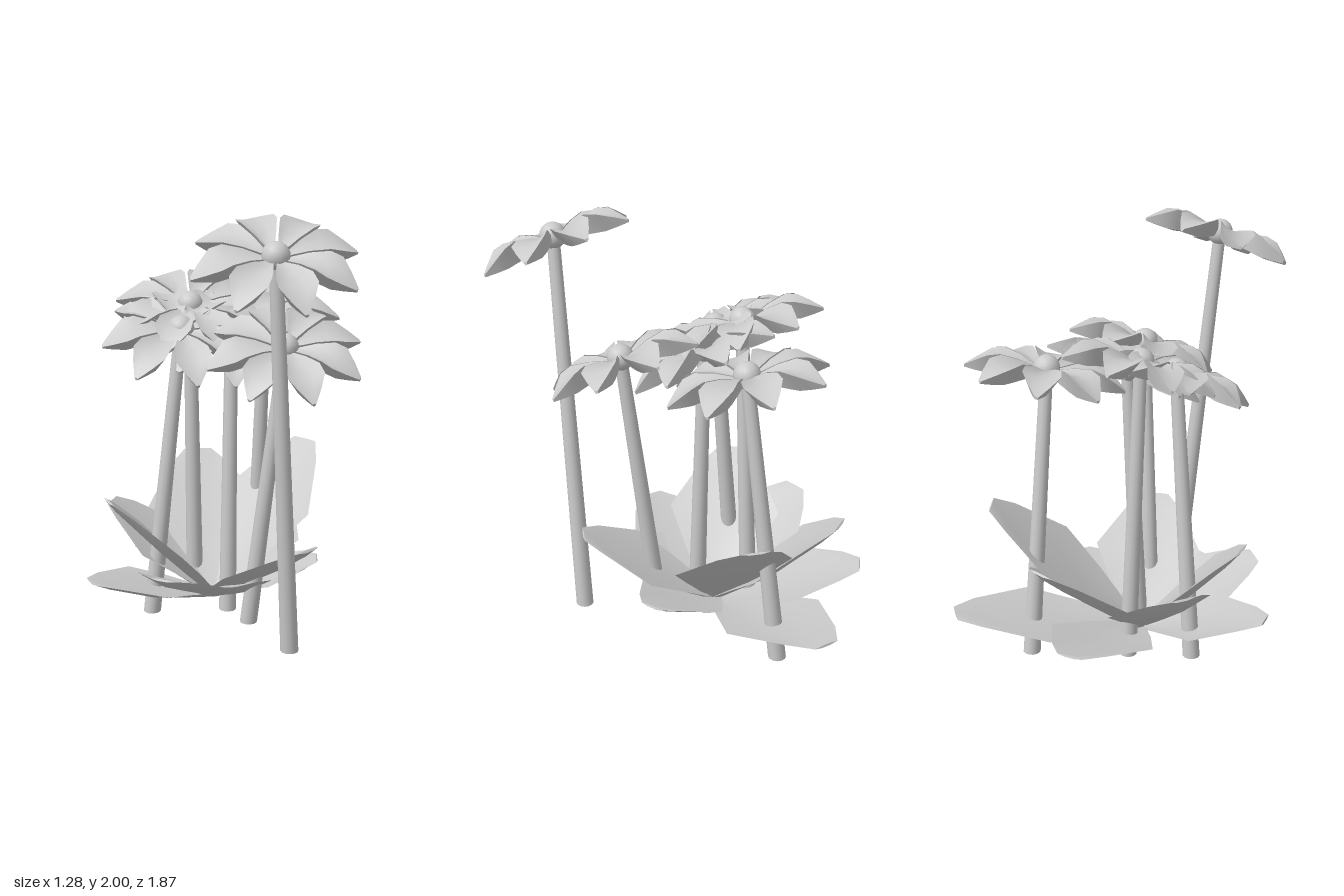
import * as THREE from 'three';
import { toCreasedNormals } from 'three/addons/utils/BufferGeometryUtils.js';

const grey = new THREE.MeshStandardMaterial({ color: 0xcccccc });

// Lofts six-sided sections along +z. Each section: [z, halfWidth, topY, edgeY, bottomY]
function loft(sections, crease) {
  const pos = [], idx = [], n = 6, last = sections.length - 1;
  for (const [z, w, top, edge, bot] of sections) {
    pos.push(w, edge, z, w * 0.4, top, z, -w * 0.4, top, z, -w, edge, z, -w * 0.4, bot, z, w * 0.4, bot, z);
  }
  for (let i = 0; i < last; i++) {
    for (let j = 0; j < n; j++) {
      const a = i * n + j, b = i * n + (j + 1) % n;
      idx.push(a, b, b + n, a, b + n, a + n);
    }
  }
  for (let j = 1; j < n - 1; j++) {
    idx.push(0, j + 1, j, last * n, last * n + j, last * n + j + 1);
  }
  const g = new THREE.BufferGeometry();
  g.setAttribute('position', new THREE.Float32BufferAttribute(pos, 3));
  g.setIndex(idx);
  return toCreasedNormals(g, crease);
}

// Cupped petal: narrow foot, raised rims, rounded keel, drooping pointed tip
const petalGeo = loft([
  [0.06, 0.018, 0.0, 0.004, -0.03],
  [0.13, 0.048, 0.012, 0.03, -0.042],
  [0.21, 0.08, 0.018, 0.045, -0.052],
  [0.265, 0.086, 0.01, 0.03, -0.06],
  [0.32, 0.05, -0.014, -0.008, -0.06],
  [0.37, 0.01, -0.045, -0.045, -0.058],
], 0.9);

// Broad thin leaf of unit length: kite outline, slightly cupped
const leafGeo = loft([
  [0.0, 0.04, 0.0, 0.005, -0.025],
  [0.3, 0.16, 0.0, 0.025, -0.03],
  [0.56, 0.25, 0.0, 0.03, -0.03],
  [0.88, 0.13, 0.005, 0.015, -0.02],
  [1.0, 0.06, 0.005, 0.0, -0.008],
], 0.5);

const heartGeo = new THREE.SphereGeometry(0.062, 14, 10);

// Leaning stem with its cut end flat on the ground
function makeStem([x0, z0], [x1, y1, z1]) {
  const g = new THREE.CylinderGeometry(0.03, 0.042, y1, 12).translate(0, y1 / 2, 0);
  const p = g.attributes.position;
  for (let i = 0; i < p.count; i++) {
    const t = p.getY(i) / y1;
    p.setX(i, p.getX(i) + x0 + (x1 - x0) * t);
    p.setZ(i, p.getZ(i) + z0 + (z1 - z0) * t);
  }
  const stem = new THREE.Mesh(toCreasedNormals(g, 0.9), grey);
  stem.name = 'stem';
  return stem;
}

// Eight petals round a ball, nodding towards the front
function makeBloom(head, tilt, turn) {
  const bloom = new THREE.Group();
  bloom.name = 'bloom';
  bloom.position.set(...head);
  bloom.rotation.x = THREE.MathUtils.degToRad(tilt);
  const heart = new THREE.Mesh(heartGeo, grey);
  heart.name = 'flowerCentre';
  bloom.add(heart);
  for (let i = 0; i < 8; i++) {
    const petal = new THREE.Mesh(petalGeo, grey);
    petal.name = 'petal';
    petal.rotation.y = THREE.MathUtils.degToRad(turn + i * 45);
    bloom.add(petal);
  }
  return bloom;
}

export function createModel() {
  const model = new THREE.Group();
  model.name = 'floweringPlant';

  // Flowers: stem foot [x, z], head [x, y, z], tilt and turn in degrees
  const flowers = [
    [[0.29, 0.45], [0.19, 1.86, 0.62], 24, 15],
    [[0.22, -0.59], [0.25, 1.42, -0.42], 13, 0],
    [[0.13, 0.11], [0.28, 1.38, 0.21], 24, 15],
    [[-0.33, -0.05], [-0.18, 1.42, -0.02], 25, 10],
    [[-0.11, -0.26], [-0.13, 1.5, -0.19], 20, 25],
    [[0.04, -0.05], [0.06, 1.41, -0.1], 28, 0],
  ];
  for (const [foot, head, tilt, turn] of flowers) {
    const flower = new THREE.Group();
    flower.name = 'flower';
    flower.add(makeStem(foot, head), makeBloom(head, tilt, turn));
    model.add(flower);
  }

  // Rosette of leaves: tip [x, y, z] and width factor
  const leaves = [
    [0.38, 0.27, -0.91, 1.05],
    [-0.29, 0.29, -0.77, 1.05],
    [0.48, 0.7, -0.6, 1.15],
    [-0.53, 0.61, 0.07, 1.1],
    [-0.07, 0.61, -0.75, 1.2],
    [-0.62, 0.24, 0.15, 0.9],
    [-0.52, 0.49, -0.3, 1.05],
    [-0.29, 0.35, 0.42, 1.05],
    [0.38, 0.46, 0.38, 1.05],
    [0.48, 0.25, -0.06, 0.95],
    [0.03, 0.28, 0.34, 0.95],
  ];
  const root = new THREE.Vector3(-0.02, 0.06, -0.12);
  const rosette = new THREE.Group();
  rosette.name = 'leafRosette';
  for (const [x, y, z, width] of leaves) {
    const tip = new THREE.Vector3(x, y, z);
    const leaf = new THREE.Mesh(leafGeo, grey);
    leaf.name = 'leaf';
    leaf.position.copy(root);
    leaf.lookAt(tip);
    leaf.scale.set(width, 0.8, tip.distanceTo(root));
    rosette.add(leaf);
  }
  model.add(rosette);
  return model;
}
